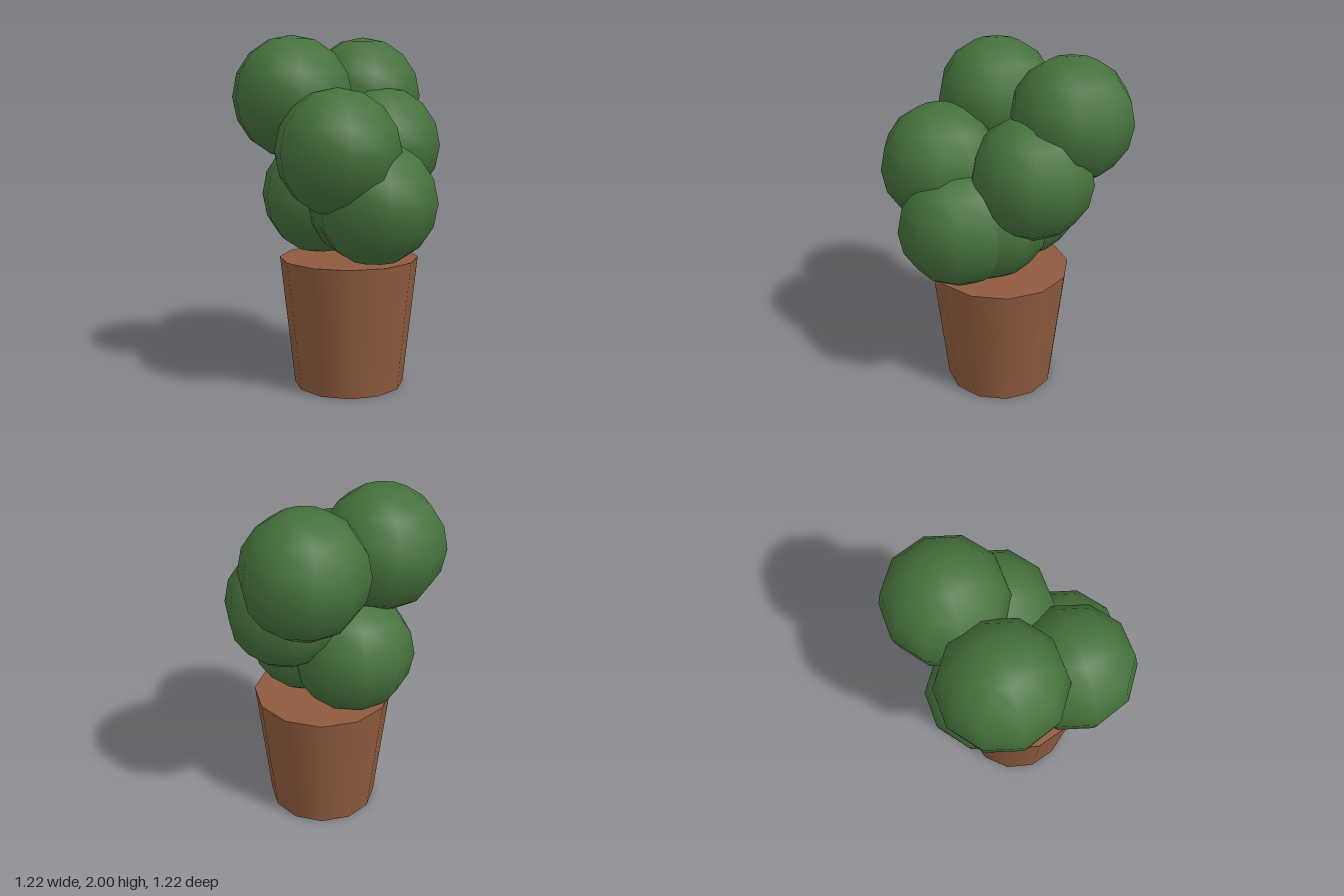
import * as THREE from 'three';

export function createModel() {
  const model = new THREE.Group();
  model.name = 'pottedBush';

  const clay = new THREE.MeshStandardMaterial({ color: 0x8f5a3e });
  const leaf = new THREE.MeshStandardMaterial({ color: 0x45703c });

  // Tapered, closed pot
  const potHeight = 0.745;
  const pot = new THREE.Mesh(new THREE.CylinderGeometry(0.397, 0.315, potHeight, 12), clay);
  pot.name = 'pot';
  pot.position.set(0.005, potHeight / 2, -0.005);
  model.add(pot);

  // Round clumps of foliage, all one size, in three tiers
  const clump = new THREE.SphereGeometry(0.343, 10, 8);
  const foliage = new THREE.Group();
  foliage.name = 'foliage';
  const clumps = {
    lowerFrontClump: [0.005, 1.089, 0.278],
    lowerMiddleClump: [0.041, 1.089, 0.1],
    lowerBackClump: [-0.07, 1.089, -0.208],
    middleRightClump: [-0.208, 1.371, 0.241],
    middleLeftClump: [0.243, 1.374, -0.043],
    topRightClump: [-0.265, 1.657, -0.178],
    topLeftClump: [0.265, 1.657, -0.285],
  };
  for (const [name, position] of Object.entries(clumps)) {
    const mesh = new THREE.Mesh(clump, leaf);
    mesh.name = name;
    mesh.position.set(...position);
    foliage.add(mesh);
  }
  model.add(foliage);

  return model;
}
